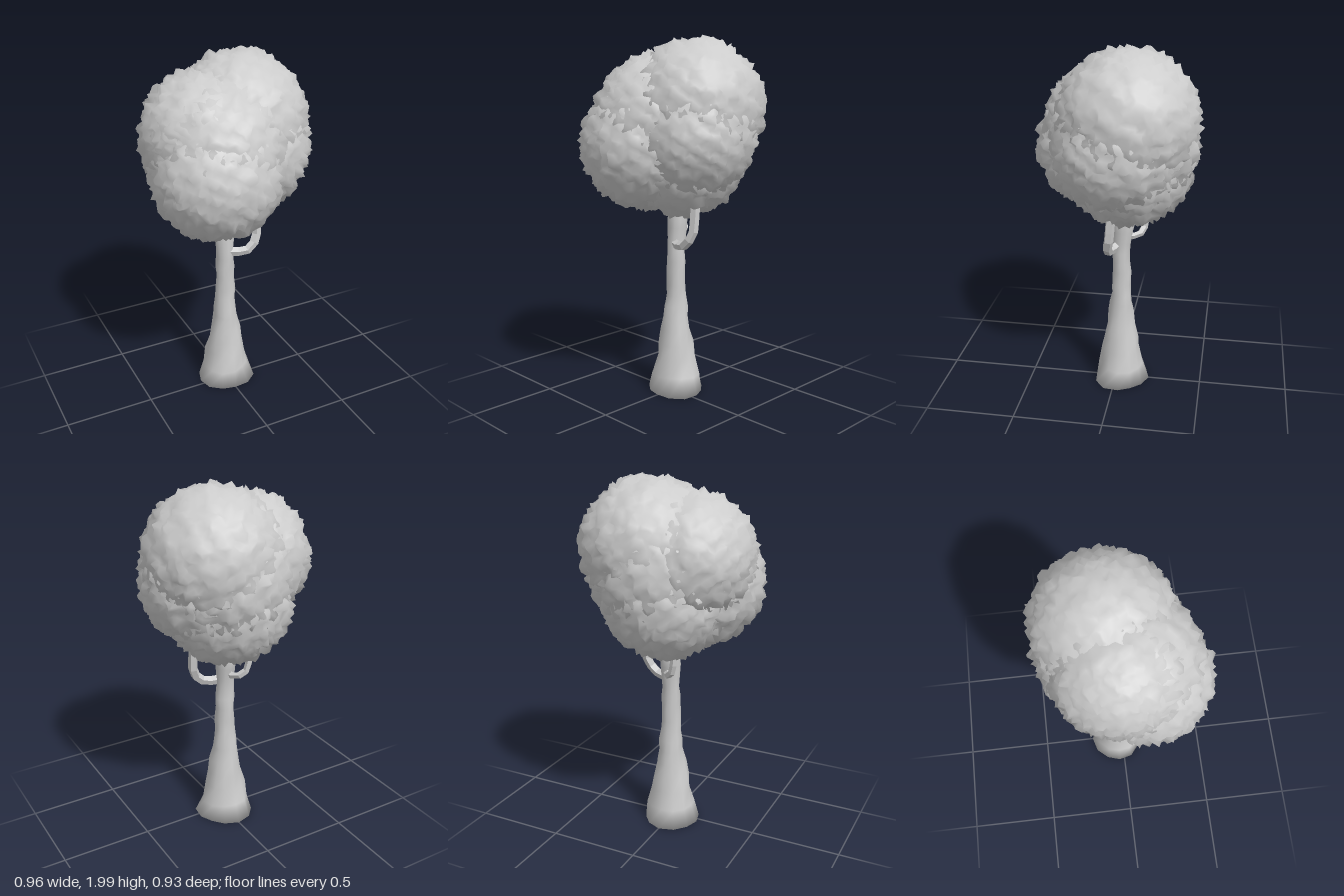
import * as THREE from 'three';
import { mergeVertices } from 'three/addons/utils/BufferGeometryUtils.js';

const bark = new THREE.MeshStandardMaterial({ color: 0xcccccc, side: THREE.DoubleSide });
const branchBark = new THREE.MeshStandardMaterial({ color: 0xcccccc, flatShading: true, side: THREE.DoubleSide });
const foliage = new THREE.MeshStandardMaterial({ color: 0xcccccc, side: THREE.DoubleSide });

function seeded(seed) {
  let s = seed;
  return () => (s = (s * 16807) % 2147483647) / 2147483647;
}

function addMesh(parent, name, geometry, material) {
  const mesh = new THREE.Mesh(geometry, material);
  mesh.name = name;
  parent.add(mesh);
}

// Flared, knobbly trunk: rings of [y, radius x, radius z, centre z]
function trunkGeometry() {
  const rings = [
    [0, 0, 0, -0.03], [0, 0.163, 0.156, -0.032], [0.1, 0.135, 0.13, -0.03],
    [0.2, 0.113, 0.11, -0.03], [0.28, 0.1, 0.096, -0.03], [0.36, 0.083, 0.084, -0.028],
    [0.44, 0.068, 0.072, -0.03], [0.5, 0.066, 0.064, -0.03], [0.56, 0.055, 0.056, -0.032],
    [0.62, 0.057, 0.052, -0.03], [0.7, 0.051, 0.053, -0.032], [0.76, 0.054, 0.05, -0.03],
    [0.82, 0.048, 0.05, -0.03], [0.88, 0.051, 0.05, -0.033], [0.95, 0.054, 0.055, -0.04],
    [1.0, 0.056, 0.06, -0.045], [1.15, 0.05, 0.055, -0.05],
  ];
  const sides = 12;
  const positions = [], index = [];
  rings.forEach(([y, rx, rz, cz], i) => {
    for (let j = 0; j < sides; j++) {
      const a = (j / sides) * Math.PI * 2;
      const k = 1 + 0.05 * Math.sin(a * 3 + y * 19) + 0.04 * Math.sin(a * 2 - y * 31);
      positions.push(Math.cos(a) * rx * k, y, cz + Math.sin(a) * rz * k);
      if (i < rings.length - 1) {
        const p = i * sides + j, q = i * sides + (j + 1) % sides;
        index.push(p, p + sides, q, q, p + sides, q + sides);
      }
    }
  });
  const geometry = new THREE.BufferGeometry();
  geometry.setAttribute('position', new THREE.Float32BufferAttribute(positions, 3));
  geometry.setIndex(index);
  geometry.computeVertexNormals();
  return geometry;
}

function branchGeometry(points, radius) {
  const curve = new THREE.CatmullRomCurve3(points.map(p => new THREE.Vector3(...p)), false, 'catmullrom', 0.3);
  return new THREE.TubeGeometry(curve, 7, radius, 5);
}

// Leaf clump: a ball whose vertices stick out as leaf tips, shaded by a gentler version of itself
function clumpGeometry(center, radius, seed) {
  const rnd = seeded(seed);
  const ball = new THREE.IcosahedronGeometry(1, 14);
  ball.deleteAttribute('normal');
  ball.deleteAttribute('uv');
  const geometry = mergeVertices(ball, 1e-4);
  const pos = geometry.attributes.position;
  const dir = new THREE.Vector3(), v = new THREE.Vector3();
  const tips = [];
  for (let i = 0; i < pos.count; i++) {
    dir.fromBufferAttribute(pos, i);
    dir.x += (rnd() - 0.5) * 0.05;
    dir.y += (rnd() - 0.5) * 0.05;
    dir.z += (rnd() - 0.5) * 0.05;
    dir.normalize();
    const lump = 0.005 * Math.sin(dir.x * 13 + dir.y * 7 + seed) * Math.sin(dir.y * 15 - dir.z * 9);
    const tip = rnd() ** 2;
    tips.push(v.copy(dir).multiplyScalar(radius - 0.022 + lump + 0.042 * tip).add(center).clone());
    v.copy(dir).multiplyScalar(radius + lump + 0.011 * tip);
    pos.setXYZ(i, v.x, v.y, v.z);
  }
  geometry.computeVertexNormals();
  tips.forEach((t, i) => pos.setXYZ(i, t.x, t.y, t.z));
  return geometry;
}

export function createModel() {
  const tree = new THREE.Group();
  tree.name = 'tree';

  addMesh(tree, 'trunk', trunkGeometry(), bark);
  addMesh(tree, 'leftBranch', branchGeometry(
    [[0.01, 0.865, -0.01], [0.09, 0.858, 0.02], [0.14, 0.885, 0.03], [0.175, 0.95, 0.015], [0.178, 1.12, 0]], 0.027), branchBark);
  addMesh(tree, 'backBranch', branchGeometry(
    [[0, 0.925, -0.05], [-0.015, 0.915, -0.12], [-0.07, 0.965, -0.155], [-0.09, 1.14, -0.16]], 0.02), branchBark);

  // Crown: name, centre, radius of each leaf clump
  const clumps = [
    ['upperLeftClump', [0.1, 1.61, -0.08], 0.37],
    ['upperRightClump', [-0.12, 1.57, -0.03], 0.345],
    ['frontClump', [-0.115, 1.405, 0.105], 0.345],
    ['middleClump', [-0.075, 1.52, 0.035], 0.365],
    ['sideClump', [0.12, 1.47, -0.03], 0.345],
    ['backClump', [0.04, 1.5, -0.085], 0.365],
    ['lowerClump', [0.01, 1.365, -0.065], 0.355],
  ];
  const crown = new THREE.Group();
  crown.name = 'crown';
  tree.add(crown);
  clumps.forEach(([name, center, radius], i) => {
    addMesh(crown, name, clumpGeometry(new THREE.Vector3(...center), radius, 101 + i * 7919), foliage);
  });
  return tree;
}
